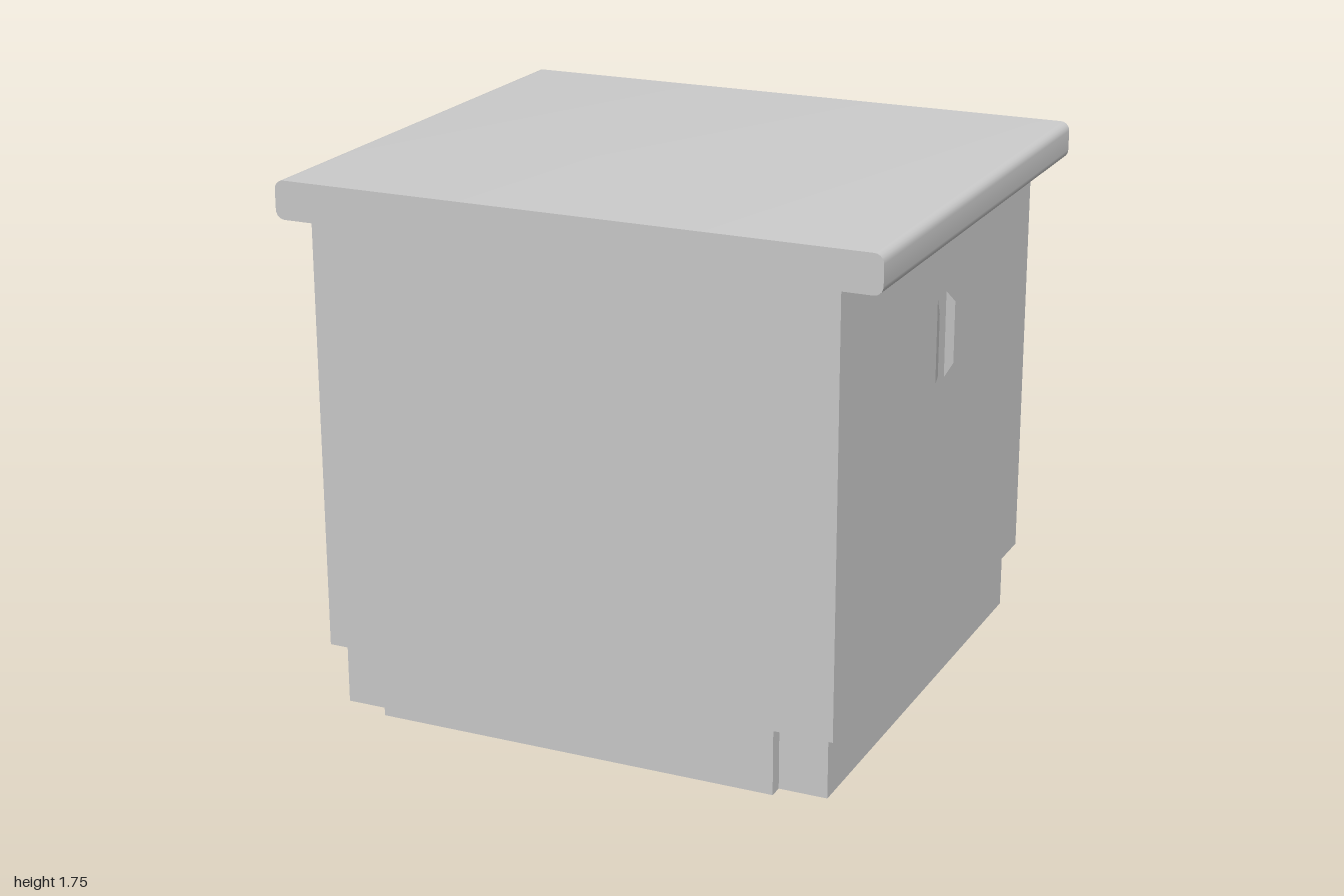
import * as THREE from 'three';
import { toCreasedNormals } from 'three/addons/utils/BufferGeometryUtils.js';

const WALL = 0.873, DEPTH = 0.873, KICK_X = 0.84, KICK_Z = 0.825, APRON = 0.68;
const KICK_TOP = 0.215, TOP_UNDER = 1.625, HEIGHT = 1.75, ROUND = 0.03;

const material = new THREE.MeshStandardMaterial({ color: 0xcccccc, side: THREE.DoubleSide });

function part(name, geometry) {
  const mesh = new THREE.Mesh(geometry, material);
  mesh.name = name;
  return mesh;
}

// Sheet spanned between two matching rows of points
function sheet(a, b) {
  const pos = [];
  for (let i = 0; i < a.length - 1; i++) {
    pos.push(...a[i], ...a[i + 1], ...b[i + 1], ...a[i], ...b[i + 1], ...b[i]);
  }
  const g = new THREE.BufferGeometry();
  g.setAttribute('position', new THREE.Float32BufferAttribute(pos, 3));
  g.computeVertexNormals();
  return toCreasedNormals(g, 0.6);
}

// Right half of the outline, from the wall foot up round the worktop edge
function halfOutline() {
  const pts = [[WALL, KICK_TOP], [WALL, TOP_UNDER]];
  const corner = (cy, start) => {
    for (let i = 0; i <= 5; i++) {
      const t = start + (i / 5) * Math.PI / 2;
      pts.push([1 - ROUND + ROUND * Math.cos(t), cy + ROUND * Math.sin(t)]);
    }
  };
  corner(TOP_UNDER + ROUND, -Math.PI / 2);
  corner(HEIGHT - ROUND, 0);
  return pts;
}

export function createModel() {
  const model = new THREE.Group();
  model.name = 'cabinet';

  // Side walls and worktop in one swept shell
  const half = halfOutline();
  const outline = [...half, ...half.map(([x, y]) => [-x, y]).reverse()];
  model.add(part('wallsAndWorktop', sheet(
    outline.map(([x, y]) => [x, y, -DEPTH]),
    outline.map(([x, y]) => [x, y, DEPTH]))));

  // Front and back panels with an apron reaching the floor between the corner notches
  const panel = new THREE.Shape([
    ...outline, [-APRON, KICK_TOP], [-APRON, 0], [APRON, 0], [APRON, KICK_TOP],
  ].map(([x, y]) => new THREE.Vector2(x, y)));
  for (const [name, turn] of [['frontPanel', 0], ['backPanel', Math.PI]]) {
    const g = new THREE.ShapeGeometry(panel);
    g.translate(0, 0, DEPTH);
    g.rotateY(turn);
    model.add(part(name, g));
  }

  // Each side: recessed plinth, ledge above it and flared pull
  const kick = [[APRON, DEPTH], [APRON, KICK_Z], [KICK_X, KICK_Z],
    [KICK_X, -KICK_Z], [APRON, -KICK_Z], [APRON, -DEPTH]];
  const ledge = new THREE.Shape([
    ...kick, [WALL, -DEPTH], [WALL, DEPTH],
  ].map(([x, z]) => new THREE.Vector2(x, z)));

  for (const [name, turn] of [['left', 0], ['right', Math.PI]]) {
    const side = new THREE.Group();
    side.name = name + 'Side';
    side.rotation.y = turn;
    side.add(part('plinth', sheet(
      kick.map(([x, z]) => [x, 0, z]),
      kick.map(([x, z]) => [x, KICK_TOP, z]))));

    const ledgeGeo = new THREE.ShapeGeometry(ledge);
    ledgeGeo.rotateX(Math.PI / 2);
    ledgeGeo.translate(0, KICK_TOP, 0);
    side.add(part('ledge', ledgeGeo));

    // Two thin lips that lean away from each other
    const root = s => [[WALL, 1.09, s * 0.04], [WALL, 1.375, s * 0.04]];
    const tip = s => [[WALL + 0.019, 1.13, s * 0.073], [WALL + 0.019, 1.335, s * 0.073]];
    side.add(part('pullLipFront', sheet(root(1), tip(1)).scale(1, 1, 1)));
    side.add(part('pullLipBack', sheet(tip(-1), root(-1))));
    model.add(side);
  }
  return model;
}
